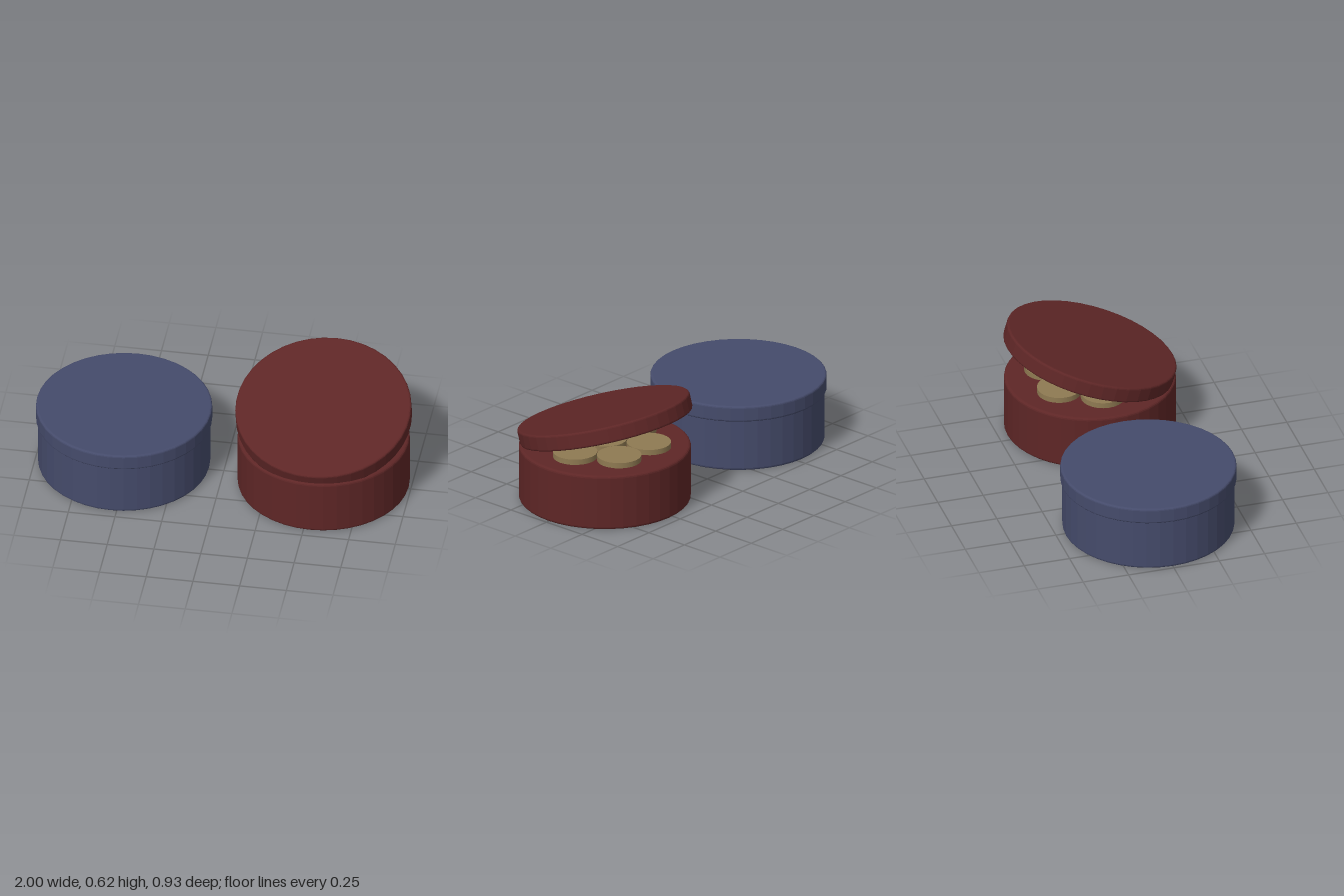
import * as THREE from 'three';

const SEGMENTS = 40;

// Closed disc-shaped solid with softly rounded edges, centred on its own origin.
function roundedDisc(radius, height, bevel, segments = SEGMENTS) {
  const h = height / 2;
  const points = [new THREE.Vector2(0, -h)];
  for (const [side, start] of [[-1, -Math.PI / 2], [1, 0]]) {
    for (let i = 0; i <= 3; i++) {
      const a = start + (i / 3) * Math.PI / 2;
      points.push(new THREE.Vector2(
        radius - bevel + Math.cos(a) * bevel,
        side * (h - bevel) + Math.sin(a) * bevel));
    }
  }
  points.push(new THREE.Vector2(0, h));
  // Separate the facets so the sides read as narrow flat bands
  const geometry = new THREE.LatheGeometry(points, segments).toNonIndexed();
  geometry.computeVertexNormals();
  return geometry;
}

function part(name, geometry, material, x, y, z) {
  const mesh = new THREE.Mesh(geometry, material);
  mesh.name = name;
  mesh.position.set(x, y, z);
  return mesh;
}

export function createModel() {
  const blue = new THREE.MeshStandardMaterial({ name: 'blue tin', color: 0x454b6b });
  const red = new THREE.MeshStandardMaterial({ name: 'red tin', color: 0x5e2626 });
  const tan = new THREE.MeshStandardMaterial({ name: 'biscuit', color: 0x8f7a52 });

  const baseGeometry = roundedDisc(0.455, 0.305, 0.014);
  const lidGeometry = roundedDisc(0.466, 0.088, 0.011);
  const biscuitGeometry = new THREE.CylinderGeometry(0.118, 0.118, 0.031, 24);

  const model = new THREE.Group();
  model.name = 'biscuitTins';

  // Closed tin
  const closedTin = new THREE.Group();
  closedTin.name = 'closedTin';
  closedTin.position.x = -0.534;
  closedTin.add(
    part('closedTinBase', baseGeometry, blue, 0, 0.1525, 0),
    part('closedTinLid', lidGeometry, blue, 0, 0.326, 0));

  // Open tin, its lid propped up at the back
  const openTin = new THREE.Group();
  openTin.name = 'openTin';
  openTin.position.x = 0.534;
  const lid = part('openTinLid', lidGeometry, red, 0, 0.448, 0);
  lid.rotation.x = 0.29;
  openTin.add(part('openTinBase', baseGeometry, red, 0, 0.1525, 0), lid);

  // One biscuit in the middle and six around it
  const biscuits = new THREE.Group();
  biscuits.name = 'biscuits';
  biscuits.add(part('middleBiscuit', biscuitGeometry, tan, 0, 0.3195, 0));
  for (let i = 0; i < 6; i++) {
    const a = i * Math.PI / 3;
    biscuits.add(part('biscuit' + (i + 1), biscuitGeometry, tan,
      Math.cos(a) * 0.237, 0.3195, Math.sin(a) * 0.237));
  }
  openTin.add(biscuits);

  model.add(closedTin, openTin);
  return model;
}
